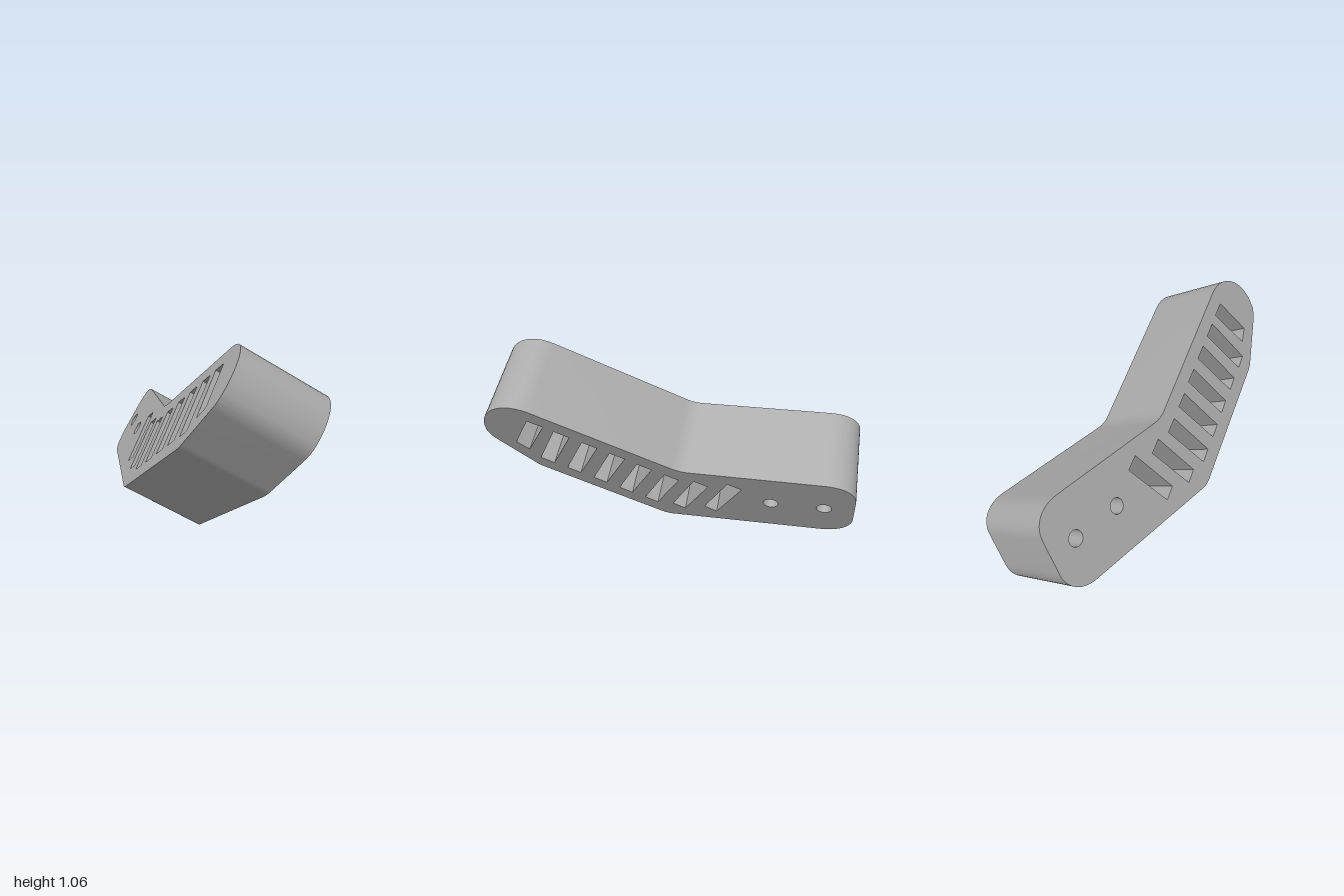
import * as THREE from 'three';
import { toCreasedNormals } from 'three/addons/utils/BufferGeometryUtils.js';

const TILT = Math.PI / 6;
const COS = Math.cos(TILT);
const DEPTH = 0.479;

export function createModel() {
  const group = new THREE.Group();
  group.name = 'angledBracket';
  const grey = new THREE.MeshStandardMaterial({ color: 0xaaaaaa });
  grey.name = 'grey';

  // Profile points are (z, height); heights are stretched to lie in the tilted plane.
  const p = (z, y) => [z, y / COS];

  // Bent outline with a rounded nose, a rounded tail and softened bends
  const outline = new THREE.Shape();
  outline.moveTo(...p(0.70, 0.80));
  outline.lineTo(...p(0.0, 0.45));
  outline.quadraticCurveTo(...p(-0.045, 0.426), ...p(-0.10, 0.426));
  outline.lineTo(...p(-0.83, 0.433));
  outline.bezierCurveTo(...p(-0.93, 0.433), ...p(-1, 0.385), ...p(-1, 0.31));
  outline.lineTo(...p(-1, 0.15));
  outline.bezierCurveTo(...p(-1, 0.075), ...p(-0.93, 0.02), ...p(-0.83, 0.019));
  outline.lineTo(...p(0.04, 0.001));
  outline.quadraticCurveTo(...p(0.08, 0), ...p(0.12, 0.022));
  outline.lineTo(...p(0.745, 0.34));
  outline.quadraticCurveTo(...p(0.778, 0.356), ...p(0.80, 0.38));
  outline.lineTo(...p(0.965, 0.557));
  outline.quadraticCurveTo(...p(1, 0.595), ...p(1, 0.635));
  outline.bezierCurveTo(...p(1, 0.78), ...p(0.84, 0.87), ...p(0.70, 0.80));

  // Slanted slots, the one at the nose being shorter
  const slots = [[0.732, 0.732], [0.603, 0.667], [0.464, 0.598], [0.324, 0.528],
    [0.185, 0.455], [0.042, 0.384], [-0.12, 0.351], [-0.308, 0.357]];
  slots.forEach(([z, y], i) => {
    const slant = i === 0 ? [[0.064, -0.236], [0.123, -0.182]] : [[0.078, -0.275], [0.147, -0.238]];
    const corners = [[0, 0], [-0.077, -0.037], ...slant];
    outline.holes.push(new THREE.Path(corners.map(([dz, dy]) => new THREE.Vector2(...p(z + dz, y + dy)))));
  });

  // Round bolt holes in the tail
  for (const [z, y] of [[-0.544, 0.2225], [-0.837, 0.227]]) {
    outline.holes.push(new THREE.Path().absarc(...p(z, y), 0.042, 0, Math.PI * 2, true));
  }

  const solid = new THREE.ExtrudeGeometry(outline, { depth: DEPTH, bevelEnabled: false, curveSegments: 14 });

  // Lay the profile along z and lean it over sideways
  solid.applyMatrix4(new THREE.Matrix4().makeBasis(
    new THREE.Vector3(0, 0, 1),
    new THREE.Vector3(Math.sin(TILT), COS, 0),
    new THREE.Vector3(-COS, Math.sin(TILT), 0),
  ));
  solid.translate(-0.03, 0, 0);

  const body = new THREE.Mesh(toCreasedNormals(solid, 0.5), grey);
  body.name = 'slottedBody';
  group.add(body);
  return group;
}
